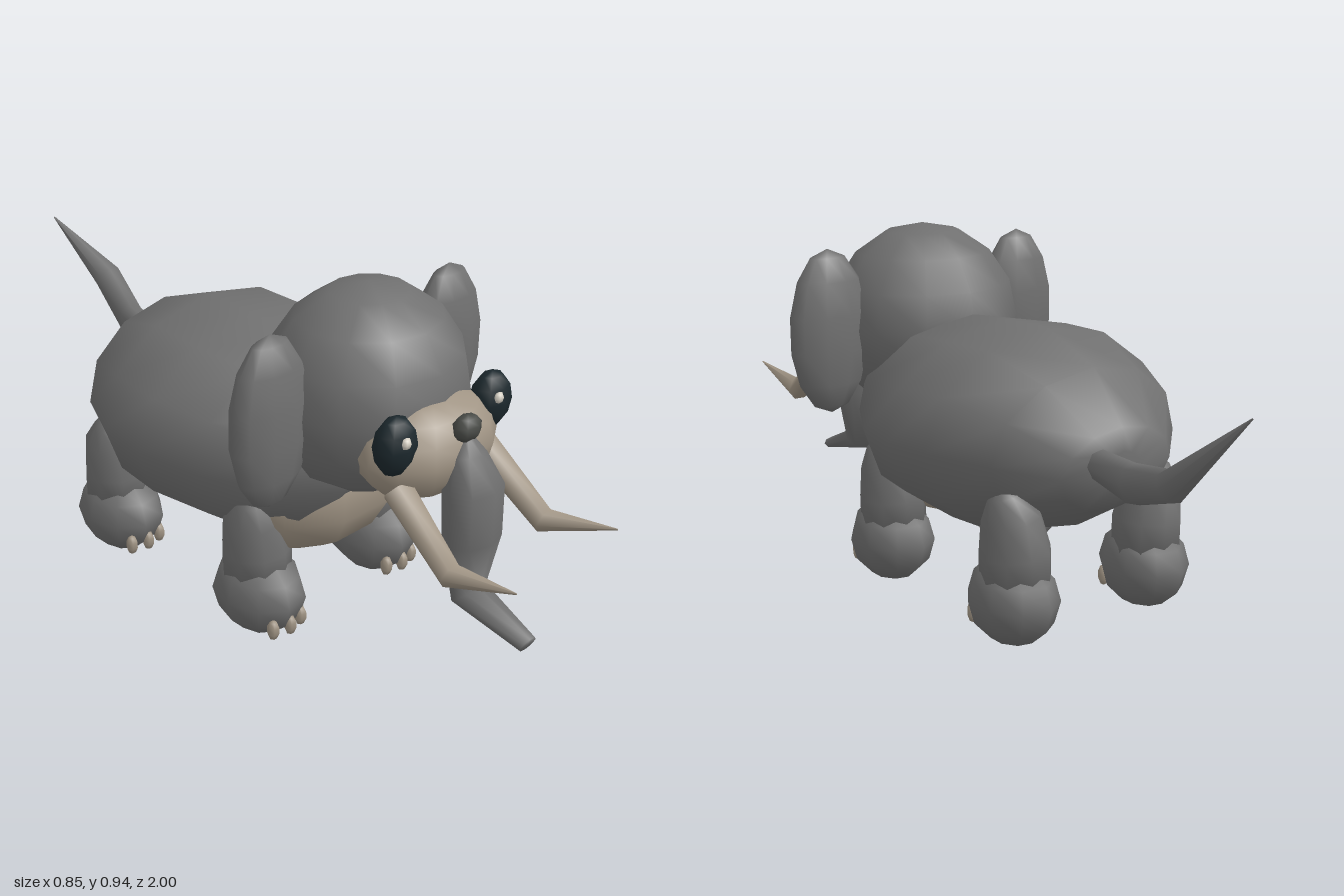
import * as THREE from 'three';

const mat = (color) => new THREE.MeshStandardMaterial({ color, roughness: 0.9 });

export function createModel() {
  const root = new THREE.Group();
  root.name = 'elephant';
  const hide = mat(0x707070), cream = mat(0xa09484), dark = mat(0x1c282d);
  const noseGrey = mat(0x484a46), glint = mat(0xd8d2c6);

  const add = (name, geometry, material, parent = root) => {
    const mesh = new THREE.Mesh(geometry, material);
    mesh.name = name;
    parent.add(mesh);
    return mesh;
  };

  // Low-poly ellipsoid with smooth normals
  const blob = (name, pos, radii, material, sides = 10, rows = 7, parent = root) => {
    const g = new THREE.SphereGeometry(1, sides, rows).scale(...radii).translate(...pos);
    return add(name, g, material, parent);
  };

  // Skin over elliptical rings [x, y, z, half width, half depth] along a path
  const loft = (name, rings, sides, material, parent = root) => {
    const n = rings.length, pos = [], index = [];
    const pts = rings.map((r) => new THREE.Vector3(r[0], r[1], r[2]));
    rings.forEach((r, i) => {
      const t = pts[Math.min(i + 1, n - 1)].clone().sub(pts[Math.max(i - 1, 0)]).normalize();
      const s = new THREE.Vector3(1, 0, 0).addScaledVector(t, -t.x).normalize();
      const u = t.clone().cross(s);
      for (let j = 0; j < sides; j++) {
        const a = (j / sides) * Math.PI * 2;
        const p = pts[i].clone().addScaledVector(s, Math.cos(a) * r[3]).addScaledVector(u, Math.sin(a) * r[4]);
        pos.push(p.x, p.y, p.z);
      }
    });
    const first = n * sides, last = first + 1, end = (n - 1) * sides;
    pos.push(...pts[0].toArray(), ...pts[n - 1].toArray());
    for (let j = 0; j < sides; j++) {
      const k = (j + 1) % sides;
      for (let i = 0; i < n - 1; i++) {
        const a = i * sides + j, b = i * sides + k;
        index.push(a, b, a + sides, b, b + sides, a + sides);
      }
      index.push(first, k, j, last, end + j, end + k);
    }
    const g = new THREE.BufferGeometry();
    g.setAttribute('position', new THREE.Float32BufferAttribute(pos, 3));
    g.setIndex(index);
    g.computeVertexNormals();
    return add(name, g, material, parent);
  };

  // Body and belly
  loft('body', [
    [0, 0.42, 0.41, 0.1, 0.1],
    [0, 0.45, 0.36, 0.23, 0.18],
    [0, 0.46, 0.15, 0.345, 0.26],
    [0, 0.47, -0.02, 0.385, 0.265],
    [0, 0.475, -0.17, 0.37, 0.265],
    [0, 0.465, -0.33, 0.29, 0.21],
    [0, 0.44, -0.45, 0.17, 0.11],
    [0, 0.44, -0.475, 0.05, 0.05],
  ], 12, hide);
  blob('belly', [0, 0.37, 0.2], [0.27, 0.2, 0.22], cream);

  // Head and face
  blob('head', [0, 0.675, 0.385], [0.265, 0.265, 0.25], hide, 12, 8);
  blob('muzzle', [0, 0.597, 0.58], [0.205, 0.127, 0.135], cream, 12, 8);
  blob('nose', [0, 0.673, 0.695], [0.043, 0.034, 0.03], noseGrey, 7, 5);
  loft('trunk', [
    [0, 0.655, 0.695, 0.012, 0.015],
    [0, 0.61, 0.705, 0.045, 0.04],
    [0, 0.53, 0.725, 0.083, 0.065],
    [0, 0.4, 0.732, 0.083, 0.06],
    [0, 0.245, 0.735, 0.052, 0.04],
    [0, 0.187, 0.915, 0.03, 0.017],
  ], 8, hide);

  for (const side of [1, -1]) {
    const tag = side > 0 ? 'left' : 'right';
    blob(tag + 'Ear', [side * 0.31, 0.675, 0.37], [0.12, 0.222, 0.062], hide, 10, 7);
    blob(tag + 'Eye', [side * 0.17, 0.664, 0.628], [0.06, 0.074, 0.045], dark, 8, 6);
    blob(tag + 'EyeGlint', [side > 0 ? 0.15 : -0.178, 0.687, 0.668], [0.015, 0.015, 0.01], glint, 6, 4);
    loft(tag + 'Tusk', [
      [side * 0.155, 0.545, 0.63, 0.042, 0.035],
      [side * 0.172, 0.405, 0.81, 0.034, 0.03],
      [side * 0.188, 0.457, 1, 0.002, 0.002],
    ], 6, cream);

    // Legs with rounded feet and three toenails
    for (const [end, z] of [['Front', 0.235], ['Back', -0.317]]) {
      const leg = new THREE.Group();
      leg.name = tag + end + 'Leg';
      root.add(leg);
      const x = side * 0.212;
      loft('upperLeg', [
        [side * 0.21, 0.14, z - 0.01, 0.09, 0.09],
        [side * 0.212, 0.24, z - 0.01, 0.09, 0.09],
        [side * 0.225, 0.33, z - 0.01, 0.072, 0.08],
        [side * 0.238, 0.385, z, 0.04, 0.045],
        [side * 0.242, 0.4, z, 0.01, 0.01],
      ], 9, hide, leg);
      blob('foot', [x, 0.115, z], [0.109, 0.115, 0.132], hide, 9, 6, leg);
      for (const dx of [-0.048, 0, 0.048]) {
        blob('toenail', [x + dx, 0.058, z + 0.113 - Math.abs(dx) * 0.25], [0.017, 0.029, 0.017], cream, 6, 5, leg);
      }
    }
  }

  // Tail, bent up at the end
  loft('tail', [
    [0.055, 0.465, -0.42, 0.035, 0.035],
    [0.12, 0.475, -0.65, 0.038, 0.05],
    [0.19, 0.535, -0.845, 0.042, 0.04],
    [0.115, 0.705, -1, 0.002, 0.002],
  ], 7, hide);

  return root;
}
